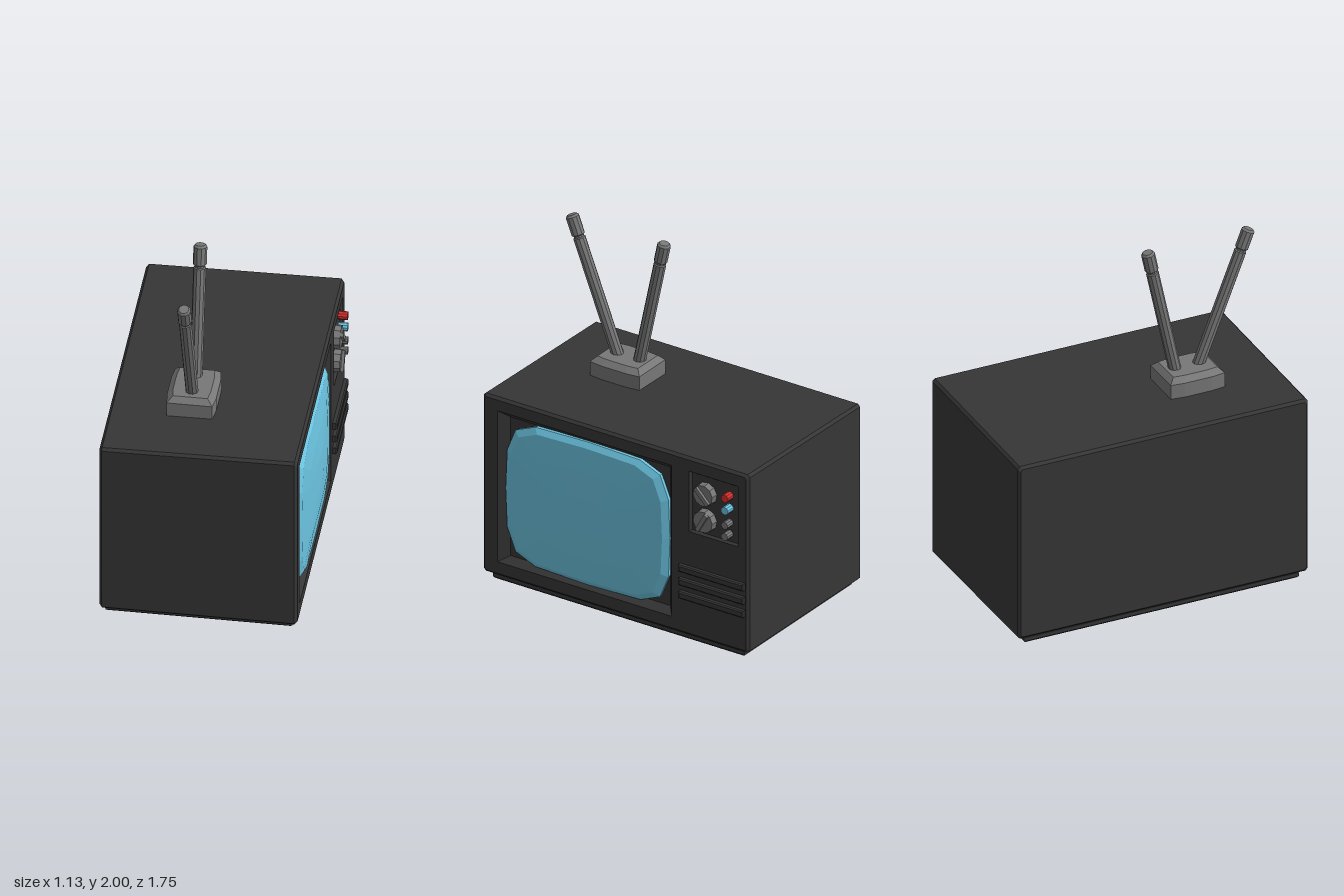
import * as THREE from 'three';

const mat = (color) => new THREE.MeshStandardMaterial({ color, flatShading: true });

// Skin a stack of closed rings ([x, y, z] corners, counter-clockwise from +z), with optional end caps
function loft(rings, capStart = true, capEnd = true) {
  const pos = [];
  const tri = (a, b, c) => pos.push(...a, ...b, ...c);
  const n = rings[0].length;
  const centre = (r) => [0, 1, 2].map((k) => r.reduce((s, p) => s + p[k], 0) / n);
  for (let i = 0; i < rings.length - 1; i++) {
    const a = rings[i], b = rings[i + 1];
    for (let j = 0; j < n; j++) {
      const k = (j + 1) % n;
      tri(a[j], a[k], b[k]);
      tri(a[j], b[k], b[j]);
    }
  }
  const first = rings[0], last = rings[rings.length - 1];
  const c0 = centre(first), c1 = centre(last);
  for (let j = 0; j < n; j++) {
    const k = (j + 1) % n;
    if (capStart) tri(c0, first[k], first[j]);
    if (capEnd) tri(c1, last[j], last[k]);
  }
  const g = new THREE.BufferGeometry();
  g.setAttribute('position', new THREE.Float32BufferAttribute(pos, 3));
  g.computeVertexNormals();
  return g;
}

const rect = (x0, x1, y0, y1, z) => [[x0, y0, z], [x1, y0, z], [x1, y1, z], [x0, y1, z]];

// Rectangle with cut corners
const cutRect = (x0, x1, y0, y1, c, z) => [
  [x0 + c, y0, z], [x1 - c, y0, z], [x1, y0 + c, z], [x1, y1 - c, z],
  [x1 - c, y1, z], [x0 + c, y1, z], [x0, y1 - c, z], [x0, y0 + c, z],
];

export function createModel() {
  const model = new THREE.Group();
  // Built with the screen towards +z, then turned to +x
  const tv = new THREE.Group();
  tv.name = 'television';
  tv.rotation.y = Math.PI / 2;
  model.add(tv);

  const dark = mat(0x363636), grey = mat(0x777777), blue = mat(0x6cc5e2), red = mat(0xd93030);
  const add = (name, geometry, material, parent = tv) => {
    const m = new THREE.Mesh(geometry, material);
    m.name = name;
    parent.add(m);
    return m;
  };

  // Cabinet shell, slightly lower at the back, open where the front panel sits
  const face = cutRect(-0.86, 0.86, 0.06, 1.115, 0.012, 0.52);
  add('cabinet', loft([
    cutRect(-0.86, 0.86, 0.06, 1.1, 0.012, -0.565),
    cutRect(-0.875, 0.875, 0.045, 1.115, 0.015, -0.55),
    cutRect(-0.875, 0.875, 0.045, 1.13, 0.015, 0.505),
    face,
  ], true, false), dark);

  // Front panel with openings for the screen and the controls
  const screenHole = [-0.775, 0.37, 0.13, 1.05];
  const controlHole = [0.485, 0.805, 0.68, 1.048];
  const toPath = (pts) => pts.map((p) => new THREE.Vector2(p[0], p[1]));
  const panel = new THREE.Shape(toPath(face));
  for (const h of [screenHole, controlHole]) panel.holes.push(new THREE.Path(toPath(rect(...h, 0))));
  add('frontPanel', new THREE.ShapeGeometry(panel).translate(0, 0, 0.52), dark);

  // Recesses behind the openings
  add('screenRecess', loft([rect(...screenHole, 0.52), rect(-0.72, 0.33, 0.165, 1.01, 0.475)], false), dark);
  add('controlRecess', loft([rect(...controlHole, 0.52), rect(0.495, 0.795, 0.69, 1.038, 0.505)], false), dark);

  // Domed picture tube: one quarter outline mirrored to a full ring
  const quarter = [[0.54, 0], [0.53, 0.235], [0.475, 0.37], [0.345, 0.425], [0, 0.435]];
  const outline = [
    ...quarter,
    ...quarter.slice(0, 4).reverse().map(([x, y]) => [-x, y]),
    ...quarter.slice(1).map(([x, y]) => [-x, -y]),
    ...quarter.slice(1, 4).reverse().map(([x, y]) => [x, -y]),
  ];
  const tubeRing = (s, z) => outline.map(([x, y]) => [-0.195 + x * s, 0.585 + y * s, z]);
  add('screen', loft([
    tubeRing(0.99, 0.47), tubeRing(1, 0.5), tubeRing(0.93, 0.522), tubeRing(0.6, 0.538), tubeRing(0.25, 0.546),
  ]), blue);

  // Tuning knobs with a grip bar each
  for (const [y, angle] of [[0.937, -0.8], [0.777, 1.05]]) {
    const knob = new THREE.Group();
    knob.name = 'knob';
    knob.position.set(0.59, y, 0.5);
    knob.rotation.z = angle;
    tv.add(knob);
    add('knobDial', new THREE.CylinderGeometry(0.064, 0.068, 0.045, 10).rotateX(Math.PI / 2).translate(0, 0, 0.0225), grey, knob);
    add('knobGrip', new THREE.BoxGeometry(0.118, 0.024, 0.02).translate(0, 0, 0.052), grey, knob);
  }

  // Push buttons
  for (const [y, r, m] of [[0.97, 0.024, red], [0.895, 0.024, blue], [0.805, 0.022, grey], [0.737, 0.022, grey]]) {
    add('button', new THREE.CylinderGeometry(r, r, 0.055, 10).rotateX(Math.PI / 2).translate(0.742, y, 0.53), m);
  }

  // Speaker grille bars
  for (const y of [0.45, 0.368, 0.288]) {
    add('grilleBar', loft([
      rect(0.427, 0.852, y - 0.021, y + 0.021, 0.51),
      rect(0.427, 0.852, y - 0.021, y + 0.021, 0.538),
      rect(0.434, 0.845, y - 0.014, y + 0.014, 0.545),
    ]), dark);
  }

  // Plinth under the cabinet
  add('plinth', loft([
    rect(-0.815, 0.815, -0.475, 0.525, 0),
    rect(-0.828, 0.828, -0.487, 0.537, 0.012),
    rect(-0.828, 0.828, -0.487, 0.537, 0.034),
    rect(-0.81, 0.81, -0.47, 0.52, 0.05),
  ]).rotateX(-Math.PI / 2), dark);

  // Antenna foot: bowed long sides and a bevelled top
  const footRing = (a, b, bow, y) => [
    [-a, -b, y], [-a / 2, -b - bow, y], [a / 2, -b - bow, y], [a, -b, y],
    [a, b, y], [a / 2, b + bow, y], [-a / 2, b + bow, y], [-a, b, y],
  ].map(([x, z, h]) => [x - 0.36, z + 0.122, h]);
  add('antennaFoot', loft([
    footRing(0.163, 0.125, 0.01, 1.1), footRing(0.163, 0.125, 0.01, 1.205), footRing(0.133, 0.095, 0.008, 1.235),
  ]).rotateX(-Math.PI / 2), grey);

  // Two rods, each with a narrow neck and a thicker tip
  const up = new THREE.Vector3(0, 1, 0);
  for (const [x0, x1] of [[-0.415, -0.727], [-0.288, -0.118]]) {
    const from = new THREE.Vector3(x0, 1.2, -0.122), to = new THREE.Vector3(x1, 1.99, -0.122);
    const len = from.distanceTo(to);
    const profile = [
      [0, 0], [0.035, 0], [0.035, len - 0.137], [0.029, len - 0.132], [0.029, len - 0.122],
      [0.038, len - 0.115], [0.038, len - 0.012], [0.028, len], [0, len],
    ].map(([r, h]) => new THREE.Vector2(r, h));
    const rod = add('antennaRod', new THREE.LatheGeometry(profile, 10), grey);
    rod.position.copy(from);
    rod.quaternion.setFromUnitVectors(up, to.sub(from).normalize());
  }

  return model;
}
